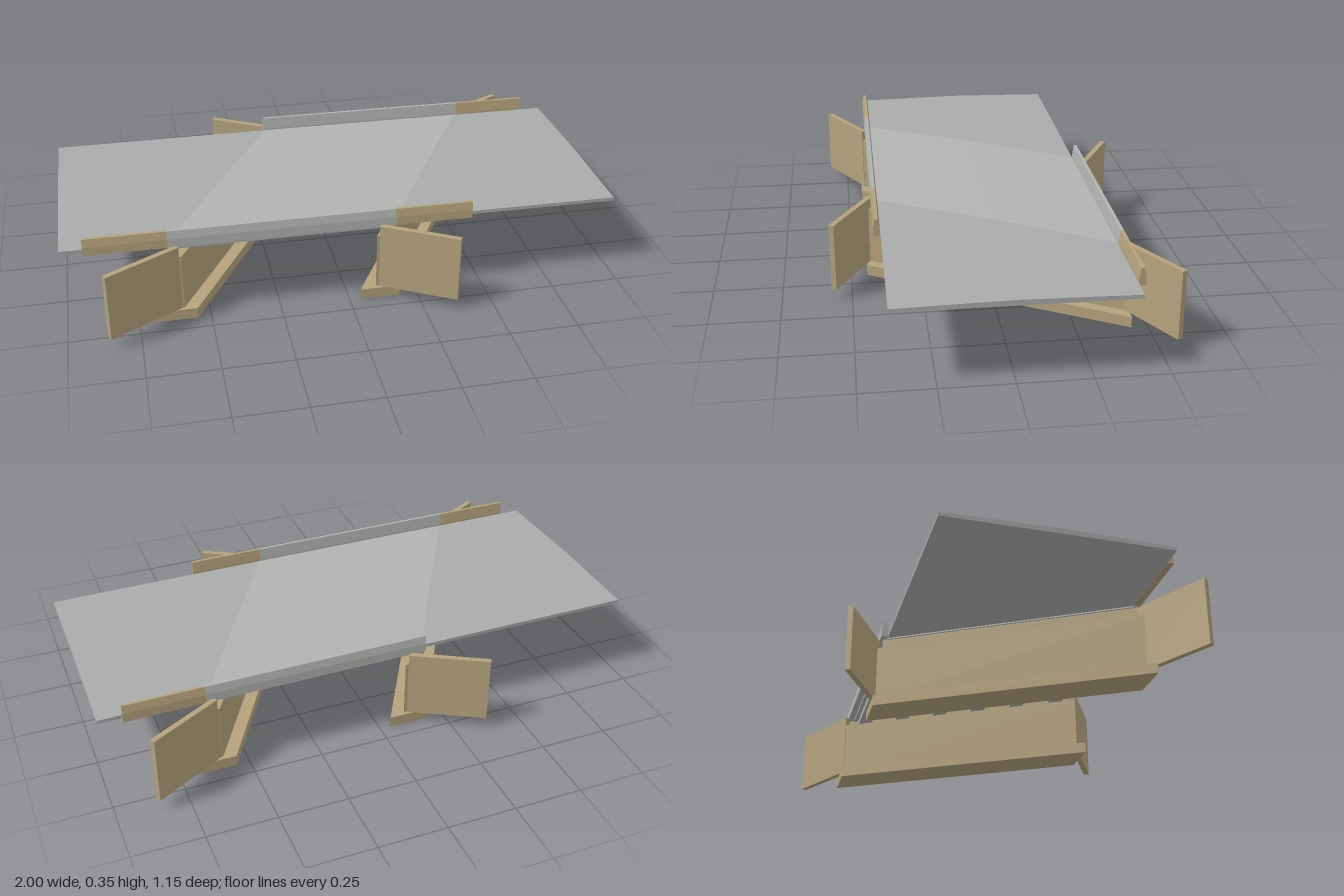
import * as THREE from 'three';

const SKEW = 0.575; // x shift of the crossing per unit of z
const HALF = 0.4;   // half the span at the centre line
const CONCRETE = new THREE.MeshStandardMaterial({ color: 0xa9abaa });
const DECK = new THREE.MeshStandardMaterial({ color: 0xb0b3b0 });
const STONE = new THREE.MeshStandardMaterial({ color: 0xb3a27c });

// Road surface: slight fall along x and a crown across z
const grade = (x) => 0.296 - 0.005 * x - 0.002 * x * x;
const crown = (z) => 0.007 * (1 - Math.abs(z) / 0.395);
const skewed = (x0) => (z) => x0 - SKEW * z;

// Box whose two x ends are functions of z, with bottom and top as functions of (x, z)
function block(name, material, xa, xb, z0, z1, bottom, top, nx = 1, nz = 1) {
  const box = new THREE.BoxGeometry(1, 1, 1, nx, 1, nz);
  const p = box.attributes.position;
  for (let i = 0; i < p.count; i++) {
    const z = z0 + (p.getZ(i) + 0.5) * (z1 - z0);
    const x = THREE.MathUtils.lerp(xa(z), xb(z), p.getX(i) + 0.5);
    p.setXYZ(i, x, p.getY(i) > 0 ? top(x, z) : bottom(x, z), z);
  }
  const geometry = box.toNonIndexed();
  geometry.computeVertexNormals();
  const mesh = new THREE.Mesh(geometry, material);
  mesh.name = name;
  return mesh;
}

// Barrier segment: tapered profile extruded along x and bent to the road grade
function barrier(name, material, x0, x1, side) {
  const shape = new THREE.Shape([
    [-0.42, -0.012], [-0.396, -0.012], [-0.396, 0.006], [-0.402, 0.049], [-0.413, 0.049], [-0.419, 0.02],
  ].map(([z, y]) => new THREE.Vector2(side * -z, y)));
  const geometry = new THREE.ExtrudeGeometry(shape, { depth: x1 - x0, steps: 6, bevelEnabled: false });
  const p = geometry.attributes.position;
  // Cyclic axis change keeps the winding
  for (let i = 0; i < p.count; i++) {
    const z = p.getX(i), y = p.getY(i), x = x1 - p.getZ(i);
    p.setXYZ(i, x, y + grade(x), z);
  }
  geometry.computeVertexNormals();
  const mesh = new THREE.Mesh(geometry, material);
  mesh.name = name;
  return mesh;
}

function abutment(side) {
  const group = new THREE.Group();
  group.name = side > 0 ? 'leftAbutment' : 'rightAbutment';
  const wall = (name, near, far, halfZ, y0, y1) => {
    const [a, b] = side > 0 ? [near, far] : [-far, -near];
    group.add(block(name, STONE, skewed(a), skewed(b), -halfZ, halfZ, () => y0, () => y1));
  };
  wall('footing', 0.293, 0.438, 0.442, 0, 0.04);
  wall('stem', 0.345, 0.393, 0.428, 0.04, 0.25);
  wall('backwall', 0.381, 0.393, 0.41, 0.25, 0.282);

  // Wing walls splay outwards from both ends of the stem
  for (const end of [1, -1]) {
    const wing = new THREE.Mesh(new THREE.BoxGeometry(0.29, 0.249, 0.02), STONE);
    wing.name = 'wingWall';
    const angle = THREE.MathUtils.degToRad(29.5);
    const x = 0.368 * side - SKEW * 0.426 * end;
    wing.position.set(x + side * 0.135 * Math.cos(angle), 0.1645, end * (0.426 + 0.135 * Math.sin(angle)));
    wing.rotation.y = -side * end * angle;
    group.add(wing);
  }
  return group;
}

export function createModel() {
  const model = new THREE.Group();
  model.name = 'skewBridge';

  // Road deck: skewed span between two approach slabs
  const top = (x, z) => grade(x) + crown(z);
  const under = (depth) => (x) => grade(x) - depth;
  model.add(block('spanDeck', DECK, skewed(-HALF), skewed(HALF), -0.395, 0.395, under(0.018), top, 8, 2));
  model.add(block('rightApproach', CONCRETE, () => -1, skewed(-HALF), -0.395, 0.395, under(0.013), top, 4, 2));
  model.add(block('leftApproach', CONCRETE, skewed(HALF), () => 1, -0.395, 0.395, under(0.013), top, 4, 2));

  // Girders under the span, with a skewed row of diaphragms at mid-span
  const count = 6, pitch = 0.142, width = 0.05;
  for (let i = 0; i < count; i++) {
    const z = (i - (count - 1) / 2) * pitch;
    model.add(block('girder', CONCRETE, skewed(-0.38), skewed(0.38), z - width / 2, z + width / 2,
      under(0.043), under(0.017), 4));
    if (i === count - 1) continue;
    const mid = z + pitch / 2, half = (pitch - width) / 2;
    model.add(block('diaphragm', CONCRETE, () => -SKEW * mid - 0.008, () => -SKEW * mid + 0.008,
      mid - half, mid + half, under(0.036), under(0.017)));
  }

  // Barriers along both edges: concrete on the span, stone on the approaches
  model.add(barrier('frontApproachBarrier', STONE, -0.92, -0.635, 1));
  model.add(barrier('frontSpanBarrier', DECK, -0.635, 0.17, 1));
  model.add(barrier('frontApproachBarrier', STONE, 0.17, 0.45, 1));
  model.add(barrier('backSpanBarrier', DECK, -0.18, 0.635, -1));
  model.add(barrier('backApproachBarrier', STONE, 0.635, 0.917, -1));

  model.add(abutment(1), abutment(-1));
  return model;
}
